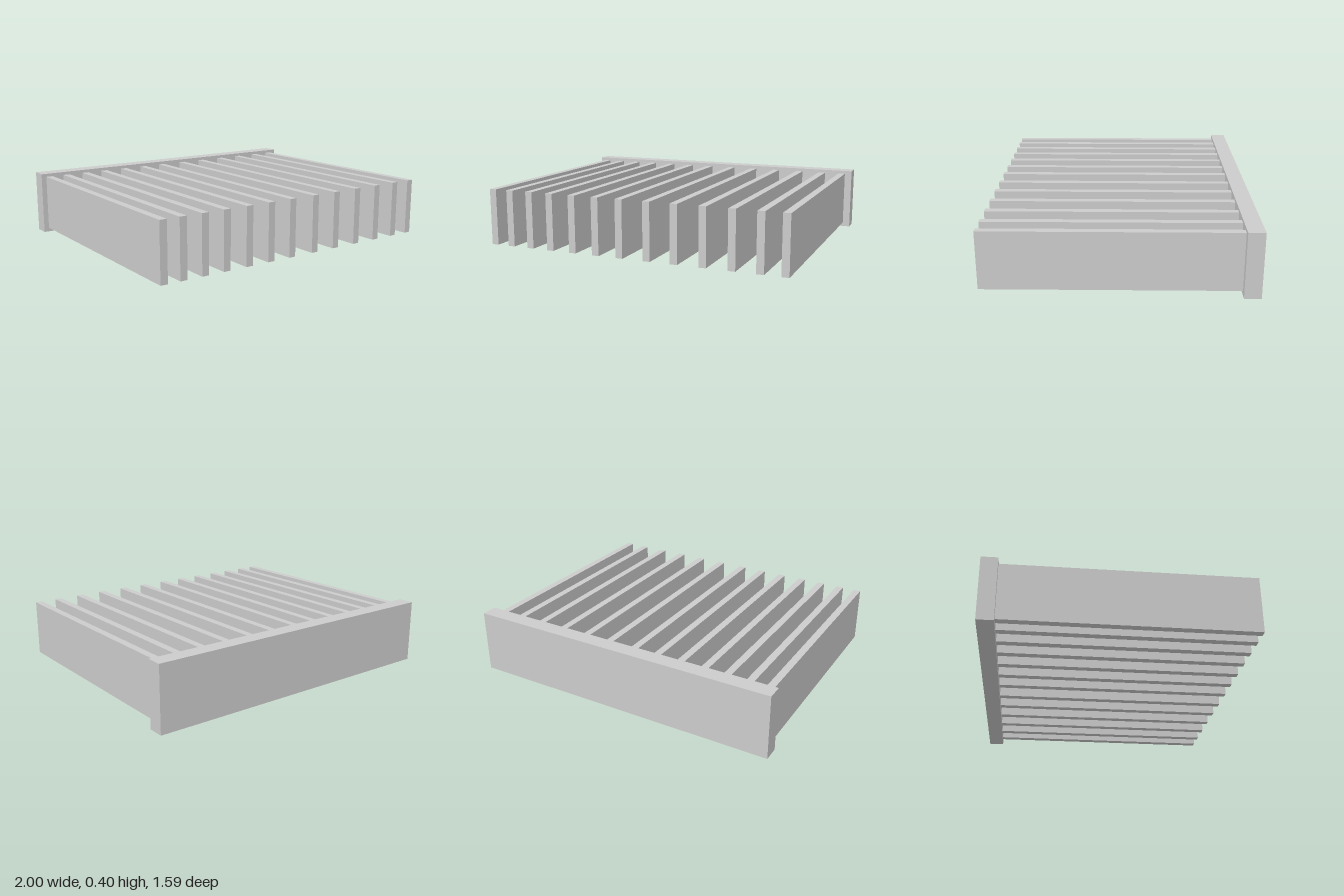
import * as THREE from 'three';

const material = new THREE.MeshStandardMaterial({ color: 0xcccccc, flatShading: true });

// Box given by its lower and upper corners
function block(name, [x0, y0, z0], [x1, y1, z1]) {
  const mesh = new THREE.Mesh(new THREE.BoxGeometry(x1 - x0, y1 - y0, z1 - z0), material);
  mesh.position.set((x0 + x1) / 2, (y0 + y1) / 2, (z0 + z1) / 2);
  mesh.name = name;
  return mesh;
}

export function createModel() {
  const group = new THREE.Group();
  group.name = 'finnedBlock';

  // Upright plate along the back
  group.add(block('backPlate', [-1, 0, -0.796], [1, 0.398, -0.697]));

  // Unevenly spaced fins running forward from the plate
  const fins = new THREE.Group();
  fins.name = 'fins';
  const finCentres = [-0.945, -0.823, -0.684, -0.54, -0.385, -0.228, -0.07,
    0.107, 0.278, 0.453, 0.626, 0.79, 0.931];
  const half = 0.0225;
  finCentres.forEach((x, i) => {
    fins.add(block(`fin${i + 1}`, [x - half, 0.025, -0.697], [x + half, 0.378, 0.796]));
  });
  group.add(fins);

  return group;
}
